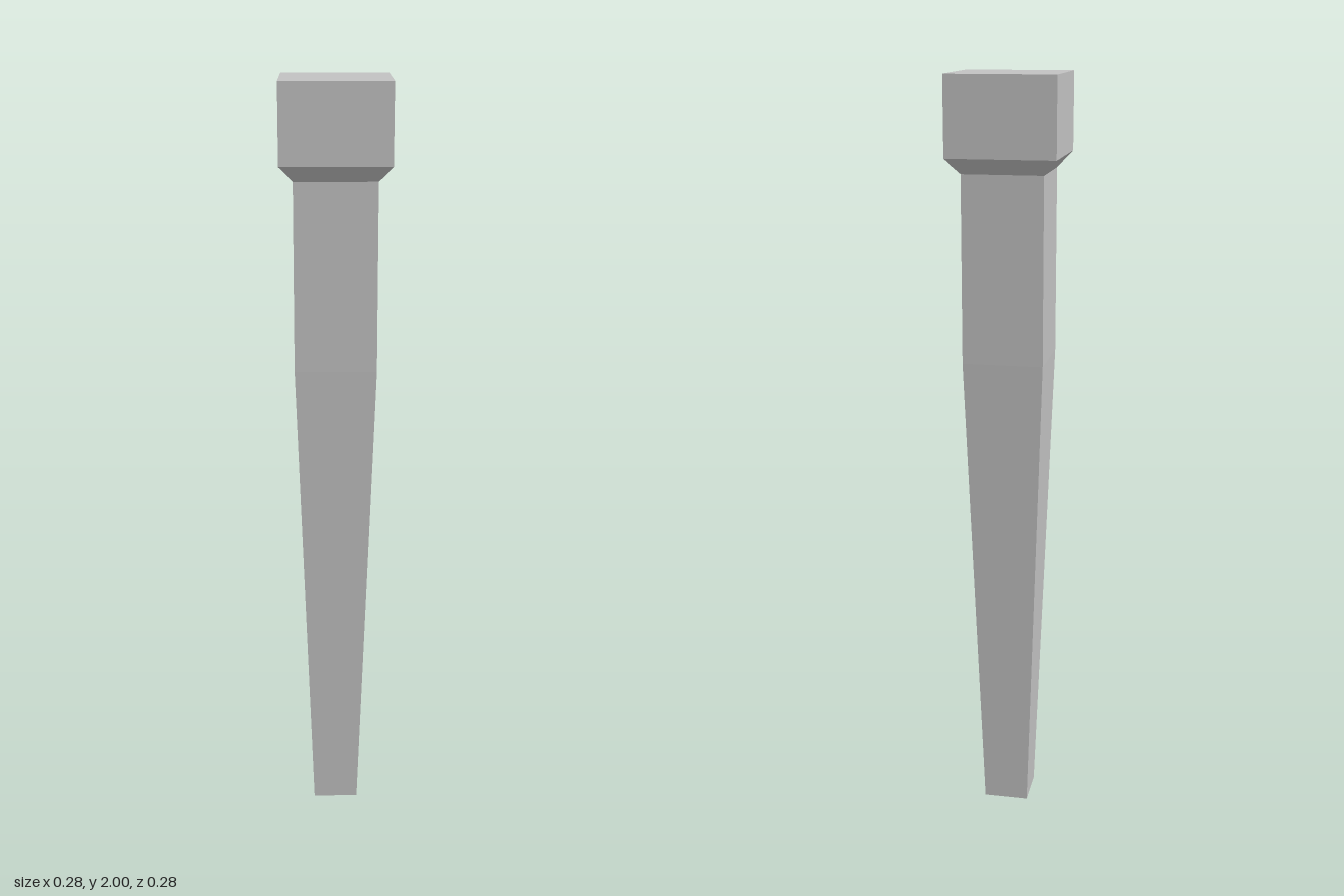
import * as THREE from 'three';

const legGrey = new THREE.MeshStandardMaterial({ color: 0xc2c2c2 });
legGrey.name = 'legGrey';

// Square section swept up a profile of [half width, height] points, with flat faces
function squarePart(name, profile) {
  const points = profile.map(([half, y]) => new THREE.Vector2(half * Math.SQRT2, y));
  const geometry = new THREE.LatheGeometry(points, 4, Math.PI / 4).toNonIndexed();
  geometry.computeVertexNormals();
  const mesh = new THREE.Mesh(geometry, legGrey);
  mesh.name = name;
  return mesh;
}

export function createModel() {
  const group = new THREE.Group();
  group.name = 'taperedLeg';

  // Shaft: closed foot, long taper, then a straight upper length
  group.add(squarePart('shaft', [[0, 0], [0.06, 0], [0.104, 1.28], [0.104, 1.76]]));

  // Bevelled collar under the top block
  group.add(squarePart('collar', [[0.104, 1.76], [0.14, 1.8]]));

  // Square top block
  group.add(squarePart('topBlock', [[0.14, 1.8], [0.14, 2], [0, 2]]));

  return group;
}
